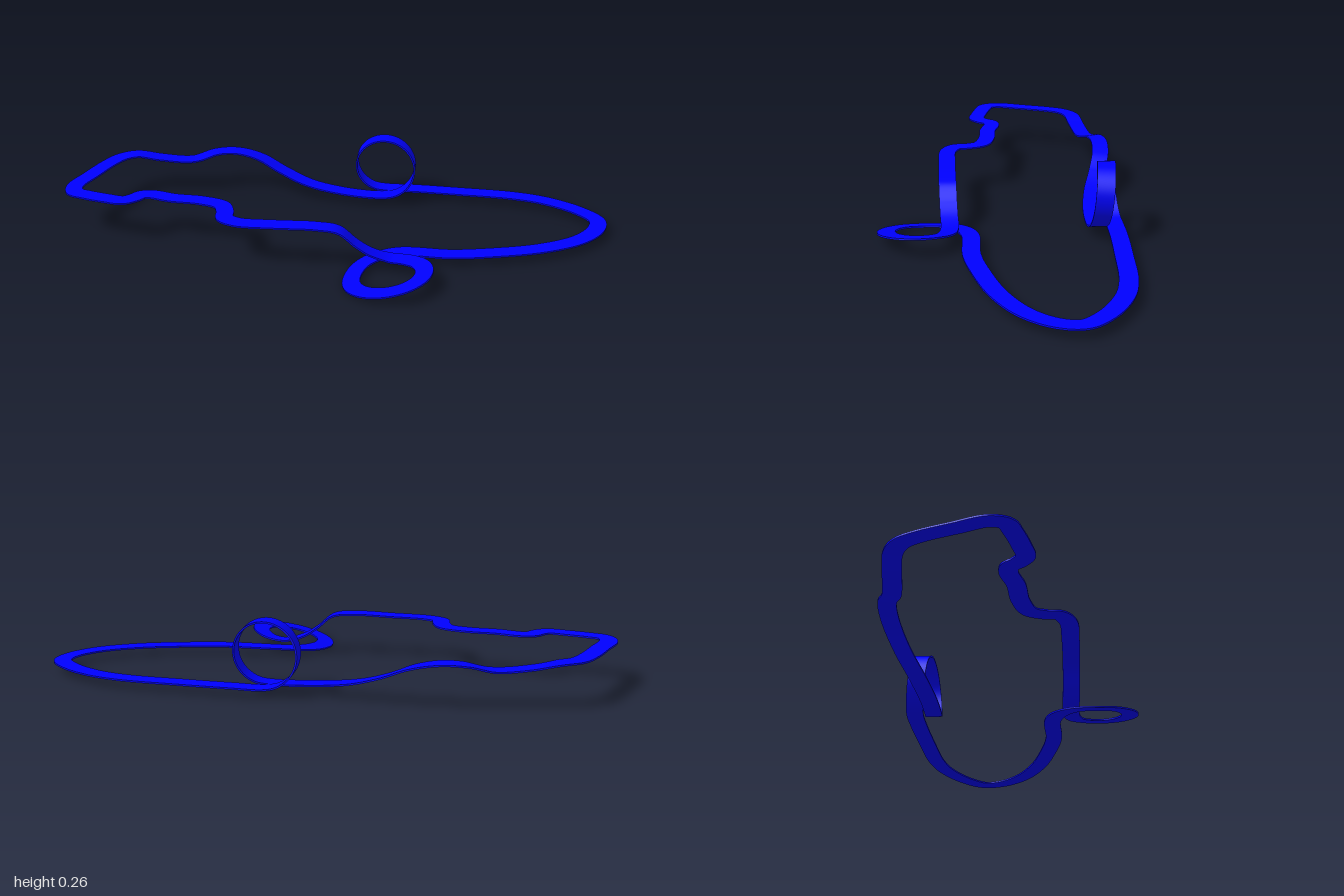
import * as THREE from 'three';

const WIDTH = 0.063, THICK = 0.006, STEPS = 1400;
const HIGH = 0.156, LOW = 0.034;

// Centreline of the circuit with an up direction at every knot
function layout() {
  const points = [], ups = [];
  const add = (x, y, z, ux = 0, uy = 1, uz = 0) => {
    points.push(new THREE.Vector3(x, y, z));
    ups.push(new THREE.Vector3(ux, uy, uz));
  };

  // vertical loop, drifting forward as it turns
  const N = 16, R = 0.112;
  for (let i = 0; i <= N; i++) {
    const a = (i / N) * Math.PI * 2, s = Math.sin(a), c = Math.cos(a);
    add(0.163 - R * s, LOW + R - R * c, -0.394 + 0.069 * (i / N), s, c);
  }

  // climb along the back and dip
  [[0.03, 0.037, -0.328], [-0.13, 0.057, -0.35], [-0.24, 0.093, -0.38], [-0.335, 0.135, -0.403],
    [-0.425, 0.154, -0.408], [-0.505, 0.151, -0.398], [-0.595, 0.129, -0.368], [-0.72, 0.139, -0.349],
    [-0.805, 0.155, -0.334]].forEach(p => add(...p));

  // level left end and wiggles
  [[-0.86, -0.3], [-0.895, -0.24], [-0.935, -0.13], [-0.967, -0.03], [-0.952, 0.019], [-0.905, 0.037],
    [-0.825, 0.057], [-0.76, 0.066], [-0.725, 0.042], [-0.703, 0.015], [-0.665, 0.008], [-0.585, 0.027],
    [-0.48, 0.035], [-0.4, 0.062], [-0.376, 0.112], [-0.368, 0.159], [-0.32, 0.187]]
    .forEach(([x, z]) => add(x, HIGH, z));

  // short descent along the front
  [[-0.185, 0.158, 0.193], [-0.04, 0.16, 0.193], [0.04, 0.149, 0.192], [0.1, 0.1, 0.19],
    [0.15, 0.068, 0.188]].forEach(p => add(...p));

  // tilted flat turn at the front
  for (let i = 0; i <= 9; i++) {
    const a = (i / 9) * Math.PI * 1.5, x = 0.218 + 0.125 * Math.sin(a);
    add(x, 0.037 + 0.21 * (x - 0.218) + (i === 0 ? 0.01 : 0), 0.296 - 0.11 * Math.cos(a), -0.2, 0.98, 0.02);
  }
  add(0.114, 0.018, 0.206, -0.18, 0.98);
  add(0.165, 0.026, 0.15, -0.12, 0.99);

  // level sweep round the right end back to the loop
  [[0.25, 0.117], [0.43, 0.115], [0.565, 0.091], [0.75, 0.037], [0.885, -0.04], [0.953, -0.127],
    [0.963, -0.2], [0.902, -0.272], [0.78, -0.342], [0.66, -0.372], [0.457, -0.386], [0.28, -0.394]]
    .forEach(([x, z]) => add(x, LOW, z));

  return {
    path: new THREE.CatmullRomCurve3(points, true, 'centripetal'),
    up: new THREE.CatmullRomCurve3(ups, true, 'catmullrom'),
  };
}

// Sweep a thin rectangle along the closed path, with hard edges
function ribbonGeometry() {
  const { path, up } = layout();
  const w = WIDTH / 2, h = THICK / 2;
  const corners = [[-w, -h], [w, -h], [w, h], [-w, h]];
  const positions = [], index = [];
  for (let i = 0; i < STEPS; i++) {
    const t = i / STEPS;
    const p = path.getPoint(t), tan = path.getTangent(t);
    const side = tan.clone().cross(up.getPoint(t)).normalize();
    const normal = side.clone().cross(tan).normalize();
    const next = (i + 1) % STEPS;
    for (let k = 0; k < 4; k++) {
      for (const [s, n] of [corners[k], corners[(k + 1) % 4]]) {
        const v = p.clone().addScaledVector(side, s).addScaledVector(normal, n);
        positions.push(v.x, v.y, v.z);
      }
      const a = i * 8 + k * 2, c = next * 8 + k * 2;
      index.push(a, c, c + 1, a, c + 1, a + 1);
    }
  }
  const geo = new THREE.BufferGeometry();
  geo.setAttribute('position', new THREE.Float32BufferAttribute(positions, 3));
  geo.setIndex(index);
  geo.computeVertexNormals();
  return geo;
}

export function createModel() {
  const model = new THREE.Group();
  model.name = 'raceTrack';
  const track = new THREE.Mesh(ribbonGeometry(), new THREE.MeshStandardMaterial({ color: 0x0000ff }));
  track.name = 'trackRibbon';
  model.add(track);
  return model;
}
